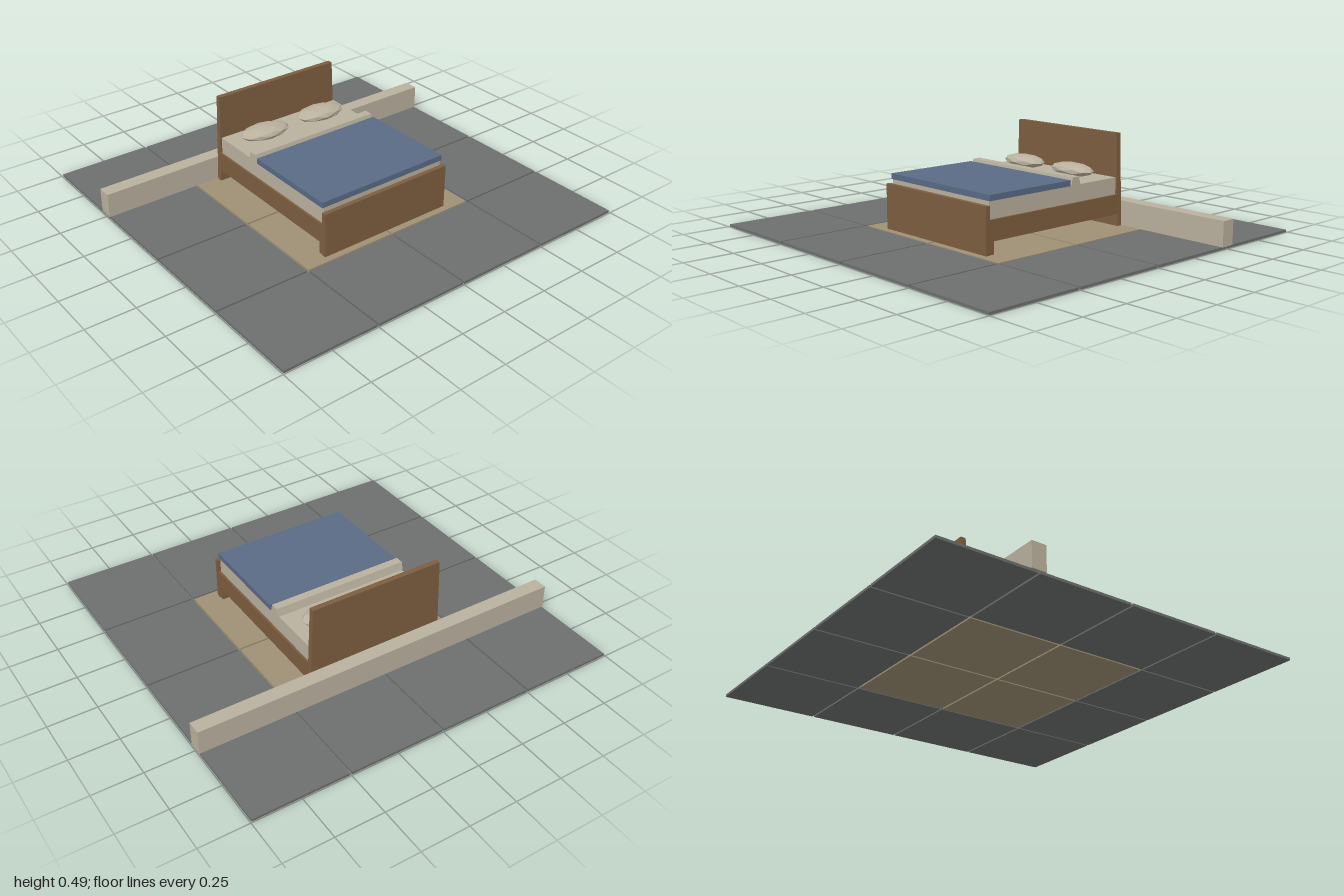
import * as THREE from 'three';

const mat = (name, color) => {
  const m = new THREE.MeshStandardMaterial({ color });
  m.name = name;
  return m;
};

export function createModel() {
  const group = new THREE.Group();
  group.name = 'bedOnTiles';
  const stone = mat('grey stone', 0x6d6f6e);
  const sand = mat('sand floor', 0x9e9075);
  const wood = mat('brown wood', 0x7d5e3f);
  const linen = mat('pale linen', 0xbab19e);
  const blue = mat('blue cloth', 0x596b84);

  const add = (name, geometry, material) => {
    const mesh = new THREE.Mesh(geometry, material);
    mesh.name = name;
    group.add(mesh);
    return mesh;
  };

  // Box from its limits; the top can be narrowed in x and z
  const box = (name, material, [x0, x1], [y0, y1], [z0, z1], topX = 1, topZ = 1) => {
    const g = new THREE.BoxGeometry(x1 - x0, y1 - y0, z1 - z0);
    const p = g.attributes.position;
    for (let i = 0; i < p.count; i++) {
      if (p.getY(i) > 0) p.setXYZ(i, p.getX(i) * topX, p.getY(i), p.getZ(i) * topZ);
    }
    g.computeVertexNormals();
    g.translate((x0 + x1) / 2, (y0 + y1) / 2, (z0 + z1) / 2);
    return add(name, g, material);
  };

  // Floor of four by four tiles, sandy in the middle
  for (let i = 0; i < 4; i++) {
    for (let j = 0; j < 4; j++) {
      const x = -0.75 + i * 0.5, z = -0.75 + j * 0.5;
      const inner = Math.abs(x) < 0.5 && Math.abs(z) < 0.5;
      box('floorTile', inner ? sand : stone,
        [x - 0.245, x + 0.245], [0, 0.013], [z - 0.245, z + 0.245]);
    }
  }

  // Low wall behind the bed
  box('lowWall', linen, [-1, 1], [0.013, 0.14], [-0.54, -0.465]);

  // Bed frame
  box('headboard', wood, [-0.372, 0.372], [0.013, 0.487], [-0.46, -0.432], 0.955);
  box('footboard', wood, [-0.373, 0.373], [0.013, 0.244], [0.436, 0.46]);
  box('bedBase', wood, [-0.37, 0.37], [0.075, 0.177], [-0.432, 0.436]);
  for (const s of [-1, 1]) {
    box('footLeg', wood, [s * 0.345 - 0.025, s * 0.345 + 0.025], [0.013, 0.075], [0.41, 0.436]);
  }

  // Bedding
  box('mattress', linen, [-0.36, 0.36], [0.177, 0.264], [-0.424, 0.43]);
  box('blanket', blue, [-0.368, 0.368], [0.264, 0.293], [-0.092, 0.432]);
  box('sheetFold', linen, [-0.366, 0.366], [0.264, 0.305], [-0.162, -0.098], 1, 0.68);

  // Faceted pillows
  for (const s of [-1, 1]) {
    const g = new THREE.IcosahedronGeometry(1, 1);
    g.scale(0.137, 0.034, 0.076);
    g.computeVertexNormals();
    const pillow = add('pillow', g, linen);
    pillow.position.set(s * 0.175, 0.297, -0.302);
    pillow.rotation.y = -0.06;
  }
  return group;
}
